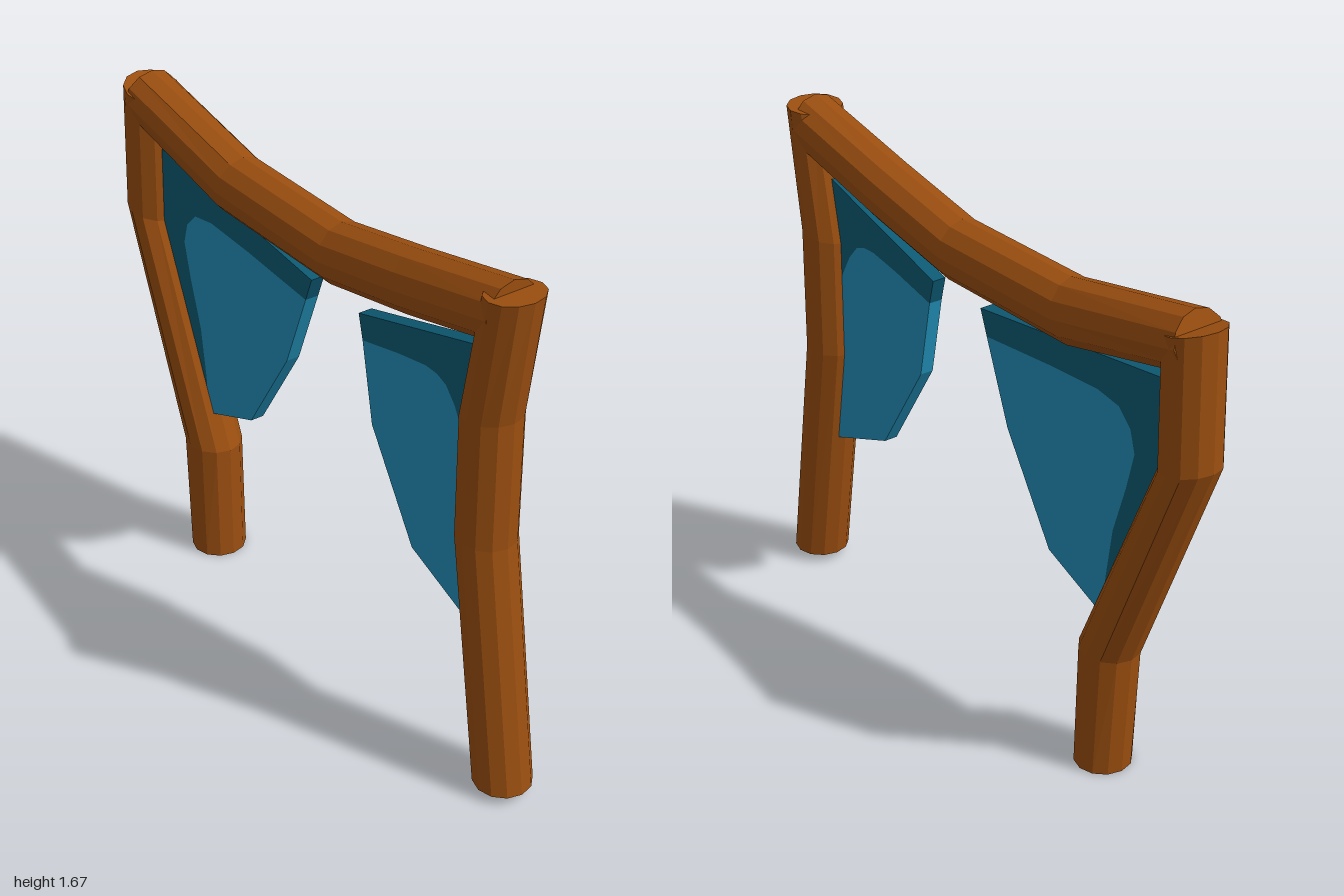
import * as THREE from 'three';

const SIDES = 12;
const DEPTH = 0.09; // half depth of the logs
const PANEL = 0.045; // cloth thickness

// Faceted log through rings, each given by its two opposite edge points [x1, y1, x2, y2]
function log(name, rings, material) {
  const pos = [];
  const point = ([x1, y1, x2, y2], i) => {
    const a = (i / SIDES) * Math.PI * 2;
    const c = Math.cos(a);
    return [
      (x1 + x2) / 2 + ((x2 - x1) / 2) * c,
      (y1 + y2) / 2 + ((y2 - y1) / 2) * c,
      DEPTH * Math.sin(a),
    ];
  };
  const centre = ([x1, y1, x2, y2]) => [(x1 + x2) / 2, (y1 + y2) / 2, 0];
  const first = rings[0];
  const last = rings[rings.length - 1];
  for (let i = 0; i < SIDES; i++) {
    for (let r = 0; r < rings.length - 1; r++) {
      const a = point(rings[r], i), b = point(rings[r], i + 1);
      const c = point(rings[r + 1], i), d = point(rings[r + 1], i + 1);
      pos.push(...a, ...c, ...b, ...b, ...c, ...d);
    }
    // End caps
    pos.push(...centre(first), ...point(first, i), ...point(first, i + 1));
    pos.push(...centre(last), ...point(last, i + 1), ...point(last, i));
  }
  const geo = new THREE.BufferGeometry();
  geo.setAttribute('position', new THREE.Float32BufferAttribute(pos, 3));
  geo.computeVertexNormals();
  const mesh = new THREE.Mesh(geo, material);
  mesh.name = name;
  return mesh;
}

// Flat piece of cloth with a little thickness
function cloth(name, points, material) {
  const shape = new THREE.Shape(points.map(([x, y]) => new THREE.Vector2(x, y)));
  const geo = new THREE.ExtrudeGeometry(shape, { depth: PANEL, bevelEnabled: false });
  geo.translate(0, 0, -PANEL / 2);
  const mesh = new THREE.Mesh(geo, material);
  mesh.name = name;
  return mesh;
}

// Curtain made of a light field and a dark border that meet along a seam
function curtain(name, seam, lightEdge, darkEdge, light, dark) {
  const group = new THREE.Group();
  group.name = name;
  group.add(cloth(name + 'Field', [...seam, ...lightEdge], light));
  group.add(cloth(name + 'Border', [...seam, ...darkEdge], dark));
  return group;
}

export function createModel() {
  const wood = new THREE.MeshStandardMaterial({ color: 0x9c4f10, flatShading: true });
  wood.name = 'brownWood';
  const light = new THREE.MeshStandardMaterial({ color: 0x2391ba });
  light.name = 'blueCloth';
  const dark = new THREE.MeshStandardMaterial({ color: 0x0d5a73 });
  dark.name = 'darkBlueCloth';

  const model = new THREE.Group();
  model.name = 'curtainedGateway';

  // Crooked posts, bottom to top
  model.add(log('rightPost', [
    [-0.68, 0, -0.505, 0],
    [-0.705, 0.41, -0.51, 0.41],
    [-1.0, 1.16, -0.82, 1.125],
    [-0.99, 1.575, -0.815, 1.53],
  ], wood));
  model.add(log('leftPost', [
    [0.815, 0.03, 0.995, 0.03],
    [0.69, 0.84, 0.875, 0.84],
    [0.69, 1.23, 0.875, 1.25],
    [0.77, 1.635, 0.93, 1.645],
  ], wood));

  // Sagging top beam, each ring from top to bottom
  model.add(log('topBeam', [
    [-0.9, 1.61, -0.945, 1.435],
    [-0.4, 1.515, -0.44, 1.32],
    [0.095, 1.515, 0.105, 1.32],
    [0.43, 1.583, 0.46, 1.39],
    [0.845, 1.675, 0.845, 1.485],
  ], wood));

  // Curtains
  model.add(curtain('rightCurtain',
    [[-0.05, 1.2], [-0.35, 1.225], [-0.55, 1.235], [-0.64, 1.22], [-0.69, 1.17],
      [-0.71, 1.1], [-0.68, 0.98], [-0.63, 0.82], [-0.605, 0.65], [-0.6, 0.53]],
    [[-0.57, 0.53], [-0.35, 0.62], [-0.15, 0.94]],
    [[-0.64, 0.54], [-0.9, 1.16], [-0.89, 1.387], [-0.02, 1.28]],
    light, dark));
  model.add(curtain('leftCurtain',
    [[0.23, 1.2], [0.4, 1.24], [0.52, 1.262], [0.57, 1.26], [0.61, 1.245],
      [0.65, 1.2], [0.69, 1.13], [0.76, 1.0]],
    [[0.78, 0.51], [0.74, 0.52], [0.48, 0.62], [0.28, 0.94]],
    [[0.78, 1.1], [0.79, 1.45], [0.21, 1.28]],
    light, dark));

  return model;
}
